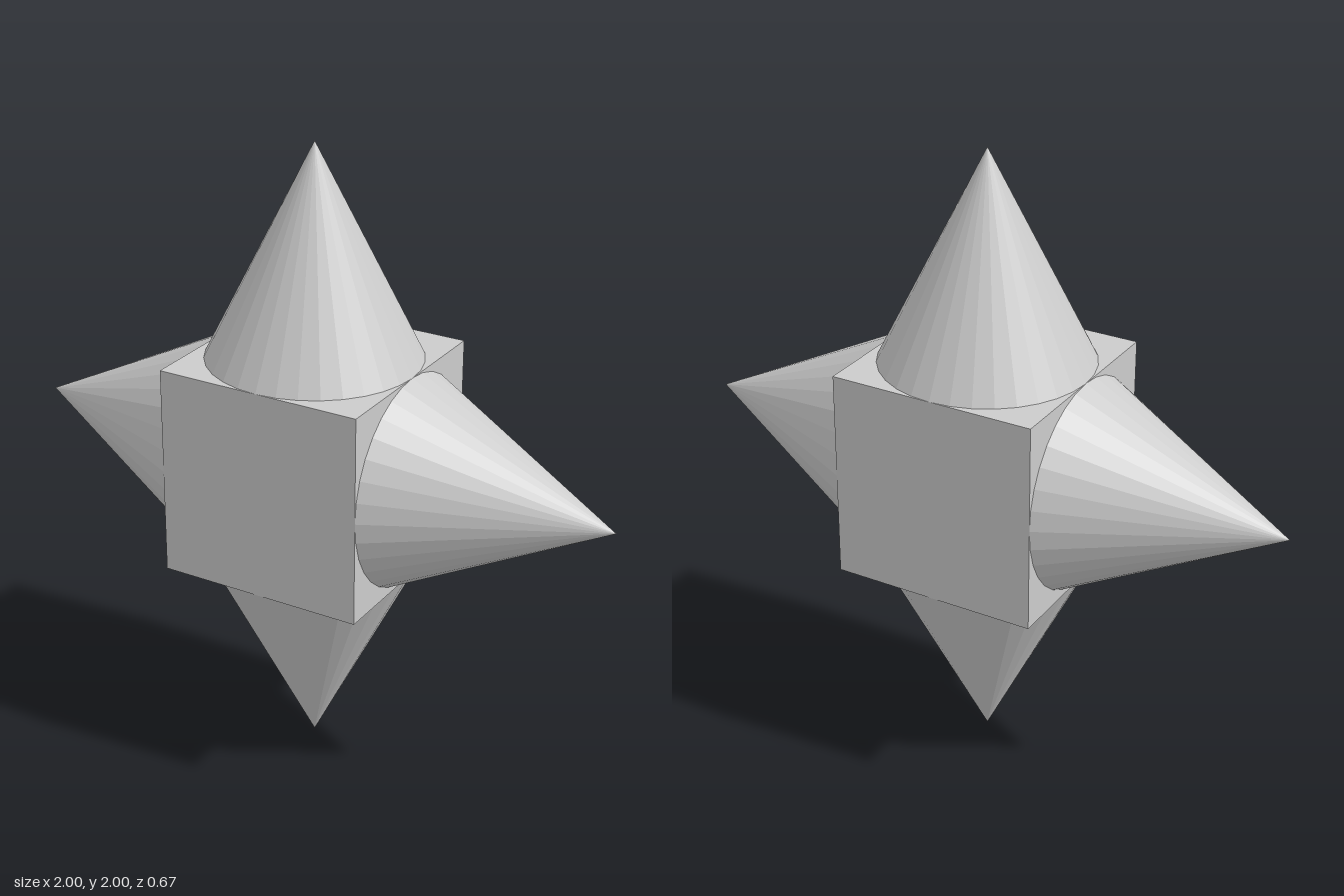
import * as THREE from 'three';

export function createModel() {
  const model = new THREE.Group();
  const material = new THREE.MeshStandardMaterial({ color: 0xcccccc, flatShading: true });
  const half = 1 / 3; // half the cube edge, also the cone radius
  const height = 2 / 3;

  // Central cube
  const core = new THREE.Mesh(new THREE.BoxGeometry(2 * half, 2 * half, 2 * half), material);
  core.name = 'coreCube';
  core.position.y = 1;
  model.add(core);

  // Four spikes, one on each face around the z axis
  const cone = new THREE.ConeGeometry(half, height, 32);
  cone.translate(0, half + height / 2, 0);
  ['topSpike', 'rightSpike', 'bottomSpike', 'leftSpike'].forEach((name, i) => {
    const spike = new THREE.Mesh(cone, material);
    spike.name = name;
    spike.position.y = 1;
    spike.rotation.z = (i * Math.PI) / 2;
    model.add(spike);
  });

  return model;
}
